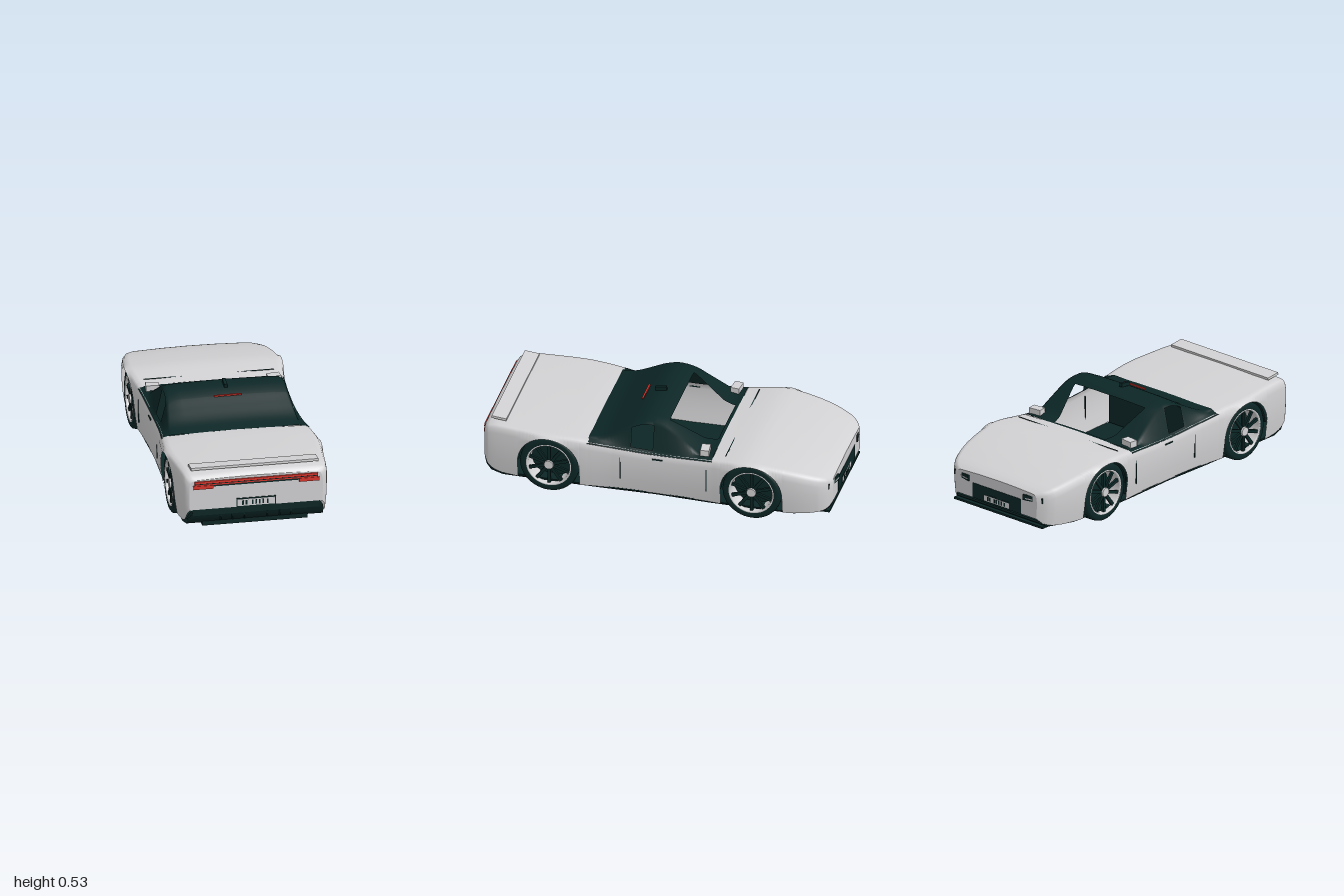
import * as THREE from 'three';

const mat = (name, color, side = THREE.DoubleSide) => {
  const m = new THREE.MeshStandardMaterial({ color, side });
  m.name = name;
  return m;
};

// Smooth interpolation through rows of [z, value, value, ...]
function sample(rows, z, k) {
  let i = 0;
  while (i < rows.length - 2 && z > rows[i + 1][0]) i++;
  const slope = n => {
    const a = rows[Math.max(n - 1, 0)], b = rows[Math.min(n + 1, rows.length - 1)];
    return (b[k] - a[k]) / (b[0] - a[0]);
  };
  const [p, q] = [rows[i], rows[i + 1]], h = q[0] - p[0];
  const t = Math.min(Math.max((z - p[0]) / h, 0), 1), s = 1 - t;
  return p[k] * (1 + 2 * t) * s * s + slope(i) * h * t * s * s
    + q[k] * t * t * (3 - 2 * t) - slope(i + 1) * h * t * t * s;
}

// Skin over cross-sections running from +x over the top to -x
function loft(sections, skip = () => false, caps = false) {
  const n = sections[0].length, pos = sections.flat(2), idx = [];
  for (let i = 0; i < sections.length - 1; i++) for (let j = 0; j < n - 1; j++) {
    if (skip(i, j)) continue;
    const a = i * n + j, b = a + n;
    idx.push(a, a + 1, b + 1, a, b + 1, b);
  }
  if (caps) for (const s of [sections[0], sections[sections.length - 1]]) {
    const base = pos.length / 3, y = (s[0][1] + s[(n - 1) / 2][1]) / 2;
    pos.push(...s.flat(), 0, y, s[0][2]);
    for (let j = 0; j < n; j++) {
      const a = base + j, b = base + (j + 1) % n;
      idx.push(base + n, ...(s === sections[0] ? [b, a] : [a, b]));
    }
  }
  const g = new THREE.BufferGeometry();
  g.setAttribute('position', new THREE.Float32BufferAttribute(pos, 3));
  g.setIndex(idx);
  g.computeVertexNormals();
  return g;
}

const mirrored = (half, z) => [...half, ...half.slice(0, -1).reverse().map(([x, y]) => [-x, y])].map(([x, y]) => [x, y, z]);

// z, half width, top height, lower edge height
const BODY = [
  [-1, .30, .255, .11], [-.98, .337, .268, .085], [-.93, .378, .287, .07], [-.8, .42, .322, .065],
  [-.6, .445, .356, .065], [-.5, .443, .36, .065], [-.3, .42, .342, .065], [0, .41, .33, .065],
  [.25, .415, .342, .065], [.45, .435, .362, .065], [.6, .445, .37, .065], [.8, .428, .377, .065],
  [.92, .415, .377, .08], [.97, .405, .366, .115], [.985, .393, .355, .15], [.992, .38, .345, .163]];
// z, roof height
const ROOF = [[-.33, .343], [-.24, .36], [-.2, .385], [-.1, .45], [-.05, .48], [0, .495], [.06, .498],
  [.1, .488], [.145, .47], [.2, .44], [.3, .39], [.39, .366]];
const AXLES = [-.56, .61], WHEEL_Y = .17, ARCH = .178;
const CABIN = [-.33, .385];

export function createModel() {
  const car = new THREE.Group();
  car.name = 'car';
  const paint = mat('paint', 0xd2d2d4), dark = mat('dark', 0x0c2626), red = mat('red', 0xd8352c);
  const add = (name, geo, m, parent = car) => {
    const mesh = new THREE.Mesh(geo, m);
    mesh.name = name;
    parent.add(mesh);
    return mesh;
  };
  const box = (name, m, w, h, d, x, y, z, parent = car) => {
    const b = add(name, new THREE.BoxGeometry(w, h, d), m, parent);
    b.position.set(x, y, z);
    return b;
  };

  // Body shell with wheel arches and an open cabin
  const zs = BODY.map(r => r[0]).concat(CABIN);
  for (let i = -49; i < 49; i++) zs.push(i / 50);
  for (const a of AXLES) {
    for (let i = 0; i <= 24; i++) zs.push(a - ARCH * Math.cos(i * Math.PI / 24));
    zs.push(a - ARCH - .0005, a + ARCH + .0005);
  }
  const stations = [...new Set(zs.map(z => +z.toFixed(4)))].sort((a, b) => a - b);
  const shell = stations.map(z => {
    const W = sample(BODY, z, 1), T = sample(BODY, z, 2);
    let low = sample(BODY, z, 3);
    for (const a of AXLES) {
      const d = Math.abs(z - a);
      if (d <= ARCH + .0001) low = WHEEL_Y + Math.sqrt(Math.max(ARCH * ARCH - d * d, 0));
    }
    const half = [0, .33, .66, 1].map(t => {
      const y = Math.max(low + (T - .05 - low) * t, low);
      return [W * (1 - .05 * Math.max((.25 - y) / .2, 0) ** 2), y];
    });
    for (const [f, d] of [[.985, -.02], [.96, -.006], [.9, 0], [.45, .006], [0, .008]])
      half.push([W * f, Math.max(T + d, low)]);
    return mirrored(half, z);
  });
  const inCabin = i => stations[i] >= CABIN[0] - .001 && stations[i + 1] <= CABIN[1] + .001;
  add('bodyShell', loft(shell, (i, j) => inCabin(i) && j >= 5 && j <= 10, true), paint);

  // Dark floor sweeping up into the rear diffuser
  const under = [[-.99, .085], [-.96, .063], [-.8, .06], [-.5, .055], [-.3, .055], [0, .055], [.3, .055],
    [.6, .055], [.88, .055], [.95, .07], [.98, .1], [.993, .13]].map(([z, y]) => {
    const w = Math.min(sample(BODY, z, 1) * .955, .402), top = sample(BODY, z, 3) + .004;
    return [[w, top, z], [w * .99, y, z], [0, y, z], [-w * .99, y, z], [-w, top, z], [0, top, z], [w, top, z]];
  });
  add('underbody', loft(under, undefined, true), dark);
  for (const x of [-.2, -.135, -.065, .065, .135, .2]) box('diffuserFin', dark, .006, .035, .04, x, .11, .973);
  box('rearLowerPanel', dark, .6, .05, .03, 0, .078, .945);
  box('frontSplitter', dark, .66, .012, .1, 0, .062, -.94);
  for (const z of [-.34, .37]) box('bulkhead', dark, .76, .24, .01, 0, .2, z);

  // Canopy with open side windows and open windscreen
  const cz = [];
  for (let i = 0; i <= 36; i++) cz.push(-.33 + i * .02);
  cz.push(.02, .145);
  cz.sort((a, b) => a - b);
  const canopy = cz.map(z => {
    const W = sample(BODY, z, 1), base = sample(BODY, z, 2), h = Math.max(sample(ROOF, z, 1), base + .008);
    const rise = Math.min((h - base) / .16, 1), sh = Math.max(h - .022, base + .003);
    const xi = z > -.06 ? .26 : .26 + (z + .06) * .3;
    return mirrored([[W * .985, base - .012], [.378, base + .002], [.376 - .031 * rise, sh],
      [.365 - .04 * rise, sh + (h - sh) * .6], [xi, h - .004], [xi / 2, h - .001], [0, h]], z);
  });
  add('canopy', loft(canopy, (i, j) => {
    const z = (cz[i] + cz[i + 1]) / 2;
    return (z > .02 && z < .145 && (j === 1 || j === 10)) || (z > -.32 && z < -.05 && j >= 4 && j <= 7);
  }), dark);
  box('highBrakeLight', red, .155, .008, .01, 0, .474, .157);
  box('antennaFin', dark, .018, .022, .065, 0, .51, .07).rotation.x = .15;

  // Rear lamps, plate and spoiler
  box('rearLightBar', red, .7, .024, .012, 0, .327, .994);
  box('lightBarLine', dark, .7, .004, .002, 0, .324, 1);
  box('lightBarBase', dark, .49, .01, .01, 0, .31, .993);
  box('spoiler', paint, .725, .014, .085, 0, .394, .912).rotation.x = -.1;
  const plate = (name, y, z, dir, w, h) => {
    const g = new THREE.Group();
    g.name = name;
    box('plateFrame', dark, w, h, .004, 0, 0, 0, g);
    box('platePanel', paint, w - .014, h - .014, .004, 0, 0, .001, g);
    for (const x of [-.075, -.055, -.02, 0, .02, .04, .065])
      box('plateBar', dark, .01, h * .5, .004, x * w / .225, 0, .002, g);
    g.position.set(0, y, z);
    if (dir < 0) g.rotation.y = Math.PI;
    car.add(g);
  };
  plate('rearPlate', .192, .994, 1, .225, .054);

  // Nose panel and plate
  box('nosePanel', dark, .36, .09, .008, 0, .155, -.998);
  plate('frontPlate', .133, -1.001, -1, .2, .046);
  box('bonnetSeam', dark, .74, .003, .005, 0, .356, -.4);

  // Wheel parts, spinning about y before being turned sideways
  const lathe = pts => new THREE.LatheGeometry(pts.map(p => new THREE.Vector2(...p)), 48);
  const tyre = lathe([[.124, -.065], [.155, -.065], [.167, -.055], [.17, -.04], [.17, .04], [.167, .055], [.155, .065], [.13, .065], [.124, .058]]);
  const barrel = lathe([[.118, -.05], [.12, .058], [.123, .066], [.13, .066], [.132, .062]]);

  for (const s of [1, -1]) {
    box('rearLamp', red, .115, .021, .012, s * .302, .303, .994);
    const lamp = new THREE.Group();
    lamp.name = 'headlight';
    box('lampHousing', dark, .13, .032, .01, 0, 0, 0, lamp);
    for (const x of [-.035, .025]) box('lampStrip', paint, .045, .006, .004, x, -.004, -.005, lamp);
    lamp.position.set(s * .265, .222, -.995);
    lamp.rotation.y = s * -.22;
    car.add(lamp);

    // Door details
    for (const z of [-.3, .2]) box('doorSeam', dark, .008, .14, .004, s * (sample(BODY, z, 1) - .003), .21, z);
    box('doorHandle', dark, .008, .006, .06, s * .409, .293, -.015);
    box('mirror', paint, .075, .036, .05, s * .345, .362, -.277).rotation.y = s * .12;
    box('mirrorStem', dark, .02, .03, .02, s * .37, .338, -.277);

    for (const z of AXLES) {
      const wheel = new THREE.Group();
      wheel.name = z > 0 ? 'rearWheel' : 'frontWheel';
      add('tyre', tyre, dark, wheel);
      add('rimBarrel', barrel, paint, wheel);
      add('rimBack', new THREE.CylinderGeometry(.122, .122, .01, 40), dark, wheel).position.y = -.03;
      for (let i = 0; i < 10; i++) {
        const a = i * Math.PI / 5;
        const spoke = box('spoke', dark, .1, .014, .018, Math.cos(a) * .07, .05, -Math.sin(a) * .07, wheel);
        spoke.rotation.y = a;
      }
      add('hub', new THREE.CylinderGeometry(.026, .03, .03, 24), paint, wheel).position.y = .052;
      wheel.rotation.z = -s * Math.PI / 2;
      wheel.position.set(s * .356, WHEEL_Y, z);
      car.add(wheel);

      // Wheel well lining
      const liner = add('wheelWell', new THREE.CylinderGeometry(.176, .176, .16, 40, 1, true, 0, Math.PI), dark);
      liner.rotation.z = Math.PI / 2;
      liner.position.set(s * .335, WHEEL_Y, z);
      const back = add('wheelWellBack', new THREE.CircleGeometry(.176, 40, 0, Math.PI), dark);
      back.rotation.y = Math.PI / 2;
      back.position.set(s * .256, WHEEL_Y, z);
    }
  }
  return car;
}
